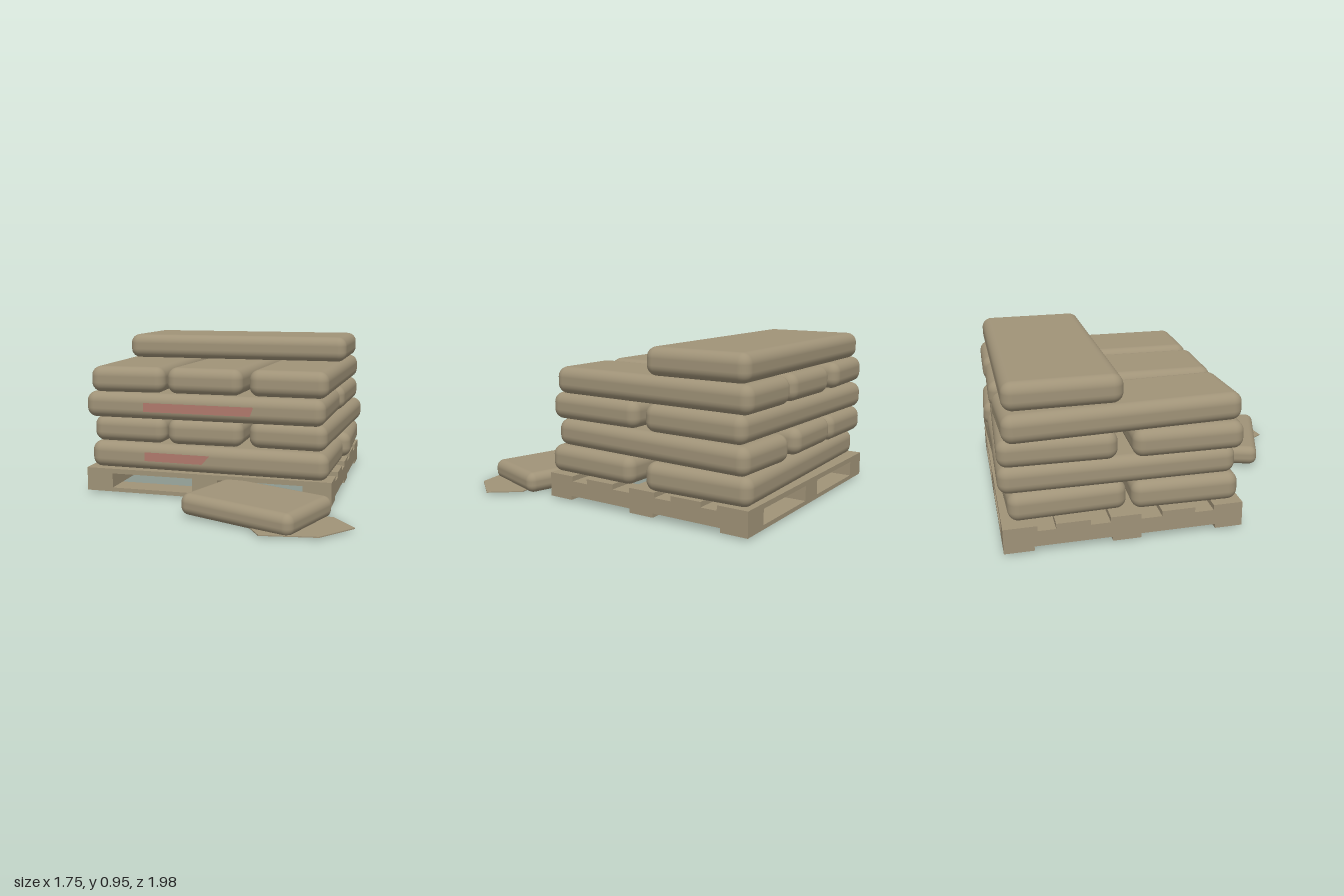
import * as THREE from 'three';
import { RoundedBoxGeometry } from 'three/addons/geometries/RoundedBoxGeometry.js';

export function createModel() {
  const model = new THREE.Group();
  model.name = 'sackPallet';
  const sand = new THREE.MeshStandardMaterial({ color: 0xa09378 });
  sand.name = 'sand';
  const red = new THREE.MeshStandardMaterial({ color: 0xb07a6c });
  red.name = 'faded red';

  // Wooden pallet: bottom boards, stringers and deck boards
  const pallet = new THREE.Group();
  pallet.name = 'pallet';
  model.add(pallet);
  const plank = (name, x0, x1, y0, y1, z0, z1) => {
    const mesh = new THREE.Mesh(new THREE.BoxGeometry(x1 - x0, y1 - y0, z1 - z0), sand);
    mesh.position.set((x0 + x1) / 2, (y0 + y1) / 2, (z0 + z1) / 2);
    mesh.name = name;
    pallet.add(mesh);
  };
  for (const [z0, z1] of [[0.21, 0.37], [-0.38, -0.22], [-0.975, -0.81]])
    plank('bottomBoard', -0.84, 0.70, 0.02, 0.045, z0, z1);
  for (const [x0, x1] of [[-0.84, -0.67], [-0.15, 0.01], [0.53, 0.70]])
    plank('stringer', x0, x1, 0.045, 0.135, -0.975, 0.37);
  for (const [z0, z1] of [[0.2, 0.37], [-0.1, 0.09], [-0.39, -0.22], [-0.69, -0.5], [-0.975, -0.79]])
    plank('deckBoard', -0.84, 0.70, 0.135, 0.165, z0, z1);

  // Soft sacks with rounded edges
  const sack = (name, w, h, d, x, y, z, yaw) => {
    const mesh = new THREE.Mesh(new RoundedBoxGeometry(w, h, d, 5, Math.min(0.06, h * 0.4)), sand);
    mesh.position.set(x, y, z);
    mesh.rotation.y = yaw;
    mesh.name = name;
    model.add(mesh);
    return mesh;
  };

  // Lengthwise layers, two sacks each
  const lower = sack('sackLayer1Front', 1.5, 0.165, 0.615, -0.065, 0.248, 0.065, -0.025);
  sack('sackLayer1Back', 1.5, 0.165, 0.655, -0.04, 0.248, -0.63, 0.03);
  const middle = sack('sackLayer3Front', 1.5, 0.16, 0.63, -0.09, 0.565, 0.07, -0.015);
  sack('sackLayer3Back', 1.5, 0.16, 0.645, -0.065, 0.565, -0.635, -0.03);

  // Crosswise layers, three sacks each: x, z, yaw
  const crosswise = (layer, y, rows) => rows.forEach(([x, z, yaw]) =>
    sack('sackLayer' + layer, 0.475, 0.16, 1.32, x, y, z, yaw));
  crosswise(2, 0.41, [[-0.565, -0.32, -0.01], [-0.09, -0.315, 0.01], [0.455, -0.32, -0.05]]);
  crosswise(4, 0.722, [[-0.605, -0.3, 0.05], [-0.07, -0.31, -0.025], [0.44, -0.31, -0.02]]);

  // Single sack on top
  sack('topSack', 1.5, 0.16, 0.64, -0.07, 0.88, -0.62, 0.003);

  // Printed strips on the front of two sacks
  const strip = (parent, depth, y, x0, topEnd, lowEnd) => {
    const s = new THREE.Shape();
    s.moveTo(x0, -0.0275);
    s.lineTo(lowEnd, -0.0275);
    s.lineTo(topEnd, 0.0275);
    s.lineTo(x0, 0.0275);
    const mesh = new THREE.Mesh(new THREE.ShapeGeometry(s), red);
    mesh.position.set(0, y, depth / 2 + 0.002);
    mesh.name = 'printedStrip';
    parent.add(mesh);
  };
  strip(lower, 0.615, 0.005, -0.385, 0.035, -0.015);
  strip(middle, 0.63, -0.003, -0.36, 0.33, 0.31);

  // Fallen sack lying in front of the pallet
  const fallen = sack('fallenSack', 0.72, 0.125, 0.5, 0.315, 0.077, 0.635, -0.33);
  fallen.rotation.z = -0.02;

  // Flat spilled heap under the fallen sack
  const spill = new THREE.Shape([
    [0.88, 0.74], [0.72, 0.94], [0.41, 0.99], [0.33, 0.87], [0.45, 0.62], [0.74, 0.57],
  ].map(([x, z]) => new THREE.Vector2(x, -z)));
  const spillGeometry = new THREE.ExtrudeGeometry(spill, { depth: 0.006, bevelEnabled: false });
  spillGeometry.rotateX(-Math.PI / 2);
  const spillMesh = new THREE.Mesh(spillGeometry, sand);
  spillMesh.position.y = 0.018;
  spillMesh.name = 'spill';
  model.add(spillMesh);

  return model;
}
